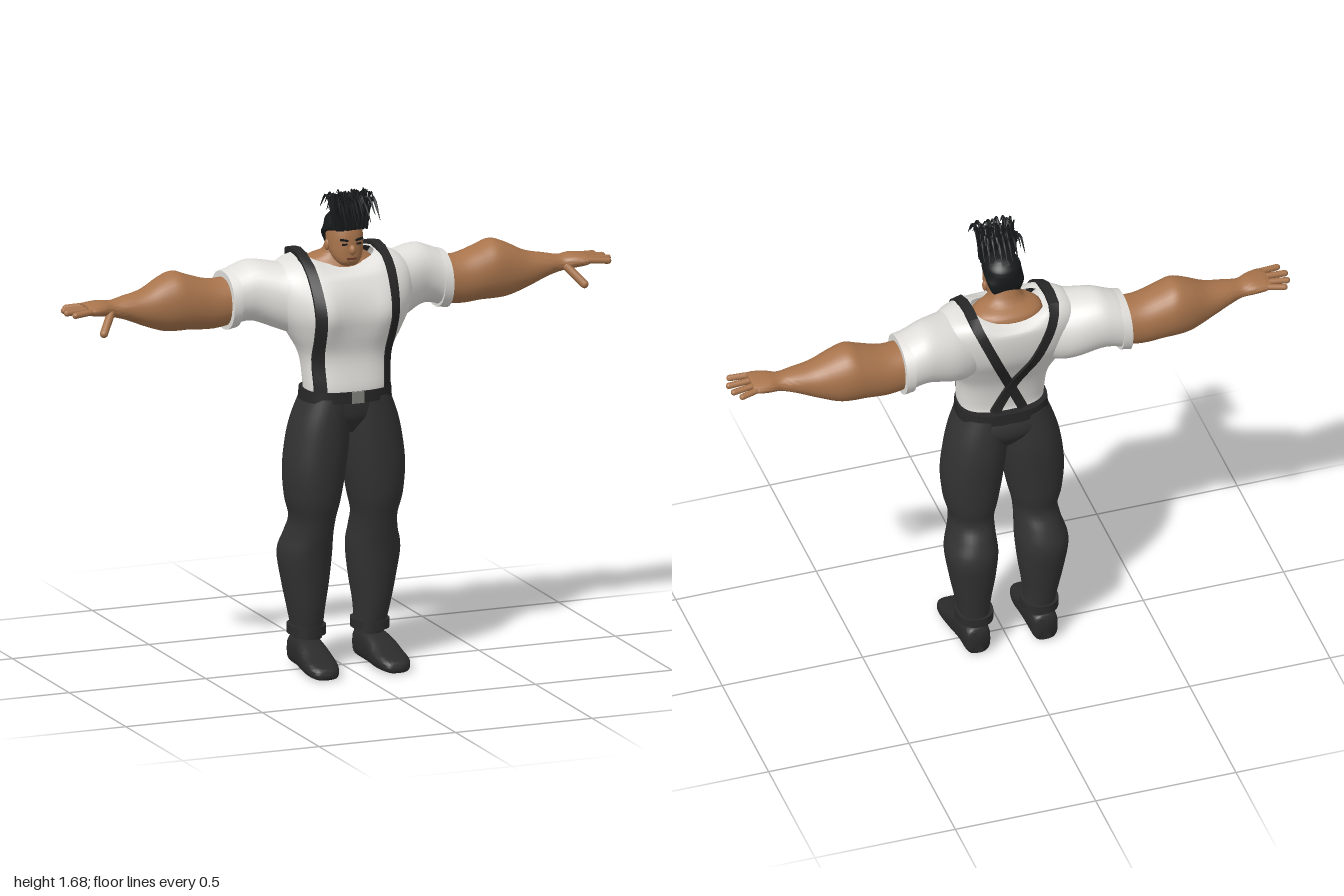
import * as THREE from 'three';
import { toCreasedNormals } from 'three/addons/utils/BufferGeometryUtils.js';

const V = (x, y, z) => new THREE.Vector3(x, y, z);

const paint = (name, color, side = THREE.FrontSide) => {
  const m = new THREE.MeshStandardMaterial({ color, side });
  m.name = name;
  return m;
};

// Joins rings of points into a skin, with optional end caps.
function skinRings(rings, caps = true, crease = 0.8) {
  const n = rings[0].length, pos = [], idx = [];
  rings.forEach(r => r.forEach(p => pos.push(p.x, p.y, p.z)));
  for (let i = 0; i < rings.length - 1; i++) {
    for (let j = 0; j < n; j++) {
      const a = i * n + j, b = i * n + (j + 1) % n;
      idx.push(a, b, b + n, a, b + n, a + n);
    }
  }
  if (caps) [0, rings.length - 1].forEach((i, top) => {
    const c = rings[i].reduce((s, p) => s.add(p), V(0, 0, 0)).divideScalar(n);
    const ci = pos.push(c.x, c.y, c.z) / 3 - 1;
    for (let j = 0; j < n; j++) {
      const a = i * n + j, b = i * n + (j + 1) % n;
      if (top) idx.push(ci, a, b); else idx.push(ci, b, a);
    }
  });
  const g = new THREE.BufferGeometry();
  g.setAttribute('position', new THREE.Float32BufferAttribute(pos, 3));
  g.setIndex(idx);
  return toCreasedNormals(g, crease);
}

// Smoothly resamples section rows.
function resample(rows, sub = 4) {
  const row = i => rows[Math.min(Math.max(i, 0), rows.length - 1)];
  const out = [];
  for (let i = 0; i < rows.length - 1; i++) {
    for (let k = 0; k < sub; k++) {
      const t = k / sub;
      out.push(row(i).map((p1, c) => {
        const p0 = row(i - 1)[c], p2 = row(i + 1)[c], p3 = row(i + 2)[c];
        return p1 + 0.5 * t * (p2 - p0 + t * (2 * p0 - 5 * p1 + 4 * p2 - p3 + t * (3 * (p1 - p2) + p3 - p0)));
      }));
    }
  }
  out.push(row(rows.length - 1));
  return out;
}

// Lofts rounded sections along an axis (0 x, 1 y, 2 z).
// Row: position, then min and max on each of the next two axes in cyclic order.
function loft(axis, rows, { n = 2.2, seg = 32, caps = true, deform } = {}) {
  const bend = v => Math.sign(v) * Math.abs(v) ** (2 / n);
  return skinRings(resample(rows).map(([t, a0, a1, b0, b1]) =>
    Array.from({ length: seg }, (_, j) => {
      const th = j / seg * Math.PI * 2, p = V(0, 0, 0);
      p.setComponent(axis, t);
      p.setComponent((axis + 1) % 3, (a0 + a1) / 2 + (a1 - a0) / 2 * bend(Math.cos(th)));
      p.setComponent((axis + 2) % 3, (b0 + b1) / 2 + (b1 - b0) / 2 * bend(Math.sin(th)));
      if (deform) deform(p);
      return p;
    })), caps);
}

// Mirrored copy across x with corrected winding.
function mirrored(geo) {
  const g = geo.index ? geo.toNonIndexed() : geo.clone();
  g.scale(-1, 1, 1);
  for (const key of ['position', 'normal']) {
    const a = g.attributes[key], p = V(0, 0, 0), q = V(0, 0, 0);
    for (let i = 0; i < a.count; i += 3) {
      p.fromBufferAttribute(a, i + 1);
      q.fromBufferAttribute(a, i + 2);
      a.setXYZ(i + 1, q.x, q.y, q.z);
      a.setXYZ(i + 2, p.x, p.y, p.z);
    }
  }
  return g;
}

function capsule(a, b, r) {
  const d = b.clone().sub(a), g = new THREE.CapsuleGeometry(r, d.length(), 5, 10);
  g.applyQuaternion(new THREE.Quaternion().setFromUnitVectors(V(0, 1, 0), d.normalize()));
  const c = a.clone().add(b).multiplyScalar(0.5);
  return g.translate(c.x, c.y, c.z);
}

const ellipsoid = (x, y, z, rx, ry, rz) => new THREE.SphereGeometry(1, 14, 10).scale(rx, ry, rz).translate(x, y, z);
const box = (x, y, z, w, h, d, rz = 0) => new THREE.BoxGeometry(w, h, d).rotateZ(rz).translate(x, y, z);

const TORSO = [[0.97, -0.07, 0.13, -0.148, 0.148], [1.0, -0.062, 0.132, -0.15, 0.15], [1.1, -0.08, 0.12, -0.16, 0.16],
  [1.18, -0.115, 0.135, -0.2, 0.2], [1.25, -0.15, 0.145, -0.235, 0.235], [1.32, -0.165, 0.132, -0.25, 0.25],
  [1.38, -0.165, 0.1, -0.245, 0.245], [1.42, -0.15, 0.06, -0.2, 0.2], [1.435, -0.13, 0.035, -0.125, 0.125]];
const TORSO_N = 2.6;
const chest = (x, y) => 0.02 * Math.exp(-(((Math.abs(x) - 0.11) / 0.05) ** 2) - ((y - 1.25) / 0.09) ** 2);

// Depth of the shirt surface at x, y on the front (1) or back (-1).
function shirtZ(x, y, s) {
  const rows = resample(TORSO);
  const i = Math.max(1, rows.findIndex(r => r[0] >= y)), A = rows[i - 1], B = rows[i];
  const [, z0, z1, , w] = A.map((v, c) => v + (B[c] - v) * (y - A[0]) / (B[0] - A[0]));
  const k = Math.max(0, 1 - Math.abs(x / w) ** TORSO_N) ** (1 / TORSO_N);
  return (z0 + z1) / 2 + s * (z1 - z0) / 2 * k + (s > 0 ? chest(x, y) : 0);
}

// Strap running up the chest, over the shoulder and diagonally down the back.
function strap(lift) {
  const pts = [];
  for (let i = 0; i <= 16; i++) pts.push({ x: 0.122 + 0.023 * i / 16, y: 0.985 + 0.425 * i / 16, s: 1 });
  pts.push({ x: 0.145, y: 1.44, z: -0.01 }, { x: 0.145, y: 1.447, z: -0.06 }, { x: 0.143, y: 1.438, z: -0.115 });
  for (let i = 0; i <= 16; i++) pts.push({ x: 0.135 - 0.185 * i / 16, y: 1.41 - 0.425 * i / 16, s: -1 });
  const P = pts.map(p => V(p.x, p.y, p.s ? shirtZ(p.x, p.y, p.s) : p.z));
  return skinRings(P.map((p, i) => {
    const t = P[Math.min(i + 1, P.length - 1)].clone().sub(P[Math.max(i - 1, 0)]).normalize();
    const w = V(1, 0, 0).addScaledVector(t, -t.x).normalize(), out = t.clone().cross(w).negate();
    return [[-1, 1], [1, 1], [1, -1], [-1, -1]].map(([side, o]) => {
      const q = p.clone().addScaledVector(w, side * 0.017);
      const s = pts[i].s;
      if (s) q.z = shirtZ(q.x, Math.min(q.y, 1.43), s);
      return q.addScaledVector(out, o > 0 ? lift : -0.006);
    });
  }), true, 0.6);
}

export function createModel() {
  const root = new THREE.Group();
  const skin = paint('skin', 0xa8744c), shirt = paint('shirt white', 0xe2e0dc, THREE.DoubleSide);
  const trouser = paint('trouser charcoal', 0x323232), leather = paint('shoe leather', 0x2b2b2b);
  const dark = paint('strap black', 0x272727), hair = paint('hair black', 0x171a1b);
  const metal = paint('buckle grey', 0x80807c), lip = paint('lip brown', 0x6e3c2c);
  const add = (name, geo, mat) => {
    const m = new THREE.Mesh(geo, mat);
    m.name = name;
    root.add(m);
  };
  const pair = (name, geo, mat) => {
    add(name + 'Left', geo, mat);
    add(name + 'Right', mirrored(geo), mat);
  };

  // Shirt with scooped neckline, sleeves and cuffs
  add('shirtBody', loft(1, TORSO, { n: TORSO_N, seg: 56, caps: false, deform: p => {
    if (p.z > 0) p.z += chest(p.x, p.y);
    if (p.y > 1.38) p.y -= 0.03 * Math.max(0, 1 - (p.x / 0.125) ** 2) * Math.min(1, (p.y - 1.38) / 0.04);
  } }), shirt);
  pair('sleeve', loft(0, [[0.1, 1.2, 1.38, -0.12, 0.08], [0.16, 1.17, 1.405, -0.15, 0.112], [0.22, 1.185, 1.415, -0.172, 0.072],
    [0.3, 1.215, 1.425, -0.183, 0.03], [0.35, 1.215, 1.41, -0.185, 0.018], [0.385, 1.2, 1.395, -0.185, 0.018]]), shirt);
  pair('sleeveCuff', loft(0, [[0.37, 1.198, 1.4, -0.19, 0.022], [0.402, 1.192, 1.392, -0.19, 0.022]]), shirt);

  // Suspenders
  add('suspenderLeft', strap(0.007), dark);
  add('suspenderRight', mirrored(strap(0.01)), dark);

  // Arms and hands
  pair('arm', loft(0, [[0.36, 1.215, 1.375, -0.165, 0], [0.45, 1.2, 1.37, -0.17, 0], [0.53, 1.205, 1.393, -0.175, 0.005],
    [0.58, 1.205, 1.41, -0.175, 0.005], [0.63, 1.21, 1.395, -0.165, 0], [0.7, 1.235, 1.36, -0.14, -0.01],
    [0.77, 1.265, 1.345, -0.12, -0.02], [0.82, 1.28, 1.336, -0.105, -0.025], [0.86, 1.288, 1.34, -0.113, -0.01],
    [0.9, 1.295, 1.337, -0.115, 0], [0.92, 1.303, 1.332, -0.11, -0.006]]), skin);
  [[-0.1, 0.965, -0.115], [-0.073, 0.985, -0.082], [-0.043, 0.99, -0.043], [-0.014, 0.975, -0.003]].forEach(([z0, x, z1], i) =>
    pair('finger' + (i + 1), capsule(V(0.9, 1.318, z0), V(x, 1.313, z1), 0.011), skin));
  pair('thumb', capsule(V(0.835, 1.3, -0.03), V(0.88, 1.245, 0.018), 0.014), skin);

  // Neck, shoulders and head
  add('neck', loft(1, [[1.36, -0.13, 0.06, -0.12, 0.12], [1.405, -0.128, 0.045, -0.122, 0.122], [1.425, -0.115, 0.03, -0.105, 0.105],
    [1.45, -0.075, 0.03, -0.06, 0.06], [1.51, -0.05, 0.035, -0.05, 0.05]]), skin);
  add('head', loft(1, [[1.41, 0.03, 0.075, -0.025, 0.025], [1.425, 0.01, 0.086, -0.042, 0.042], [1.45, -0.02, 0.088, -0.055, 0.055],
    [1.48, -0.045, 0.088, -0.06, 0.06], [1.52, -0.05, 0.085, -0.06, 0.06], [1.56, -0.045, 0.07, -0.054, 0.054],
    [1.585, -0.02, 0.04, -0.03, 0.03]]), skin);
  add('nose', ellipsoid(0, 1.468, 0.089, 0.012, 0.018, 0.016), skin);
  pair('ear', ellipsoid(0.061, 1.475, 0.012, 0.008, 0.02, 0.013), skin);
  pair('eye', box(0.026, 1.488, 0.084, 0.018, 0.006, 0.006), hair);
  pair('eyebrow', box(0.027, 1.503, 0.084, 0.028, 0.007, 0.008, 0.2), hair);
  add('mouth', box(0, 1.437, 0.086, 0.034, 0.007, 0.007), lip);

  // Hair cap and fanned tuft
  add('hairCap', loft(1, [[1.475, -0.054, -0.015, -0.05, 0.05], [1.51, -0.06, 0, -0.064, 0.064], [1.538, -0.062, 0.088, -0.066, 0.066],
    [1.565, -0.055, 0.08, -0.06, 0.06], [1.588, -0.03, 0.05, -0.036, 0.036], [1.597, -0.01, 0.02, -0.012, 0.012]]), hair);
  let seed = 7;
  const rnd = () => (seed = seed * 16807 % 2147483647) / 2147483647;
  for (let i = 0; i < 64; i++) {
    const x = ((i % 8) / 3.5 - 1) * 0.05 + (rnd() - 0.5) * 0.008, d = -0.1 + 0.205 * Math.floor(i / 8) / 7 + (rnd() - 0.5) * 0.02;
    const top = 1.683 - Math.abs(d) * 0.25 - rnd() * 0.02;
    const z = 0.075 + d * 0.15;
    const path = new THREE.CatmullRomCurve3([V(x, 1.54, z), V(x * 1.12, 1.61, z + d * 0.1), V(x * 1.25, top, z + d * 0.4),
      V(x * 1.35, top - Math.abs(d) * 0.5 - rnd() * 0.02, z + d * 0.88)]);
    const g = new THREE.TubeGeometry(path, 10, 0.008, 5), a = g.attributes.position, p = V(0, 0, 0);
    for (let k = 0; k < a.count; k++) {
      const u = Math.floor(k / 6) / 10;
      p.fromBufferAttribute(a, k).lerp(path.getPointAt(u), 0.9 * u * u);
      a.setXYZ(k, p.x, p.y, p.z);
    }
    add('hairStrand', g, hair);
  }

  // Trousers, belt and buckle
  pair('trouserLeg', loft(1, [[0.1, -0.095, 0.02, 0.066, 0.16], [0.2, -0.112, 0.045, 0.06, 0.18], [0.3, -0.13, 0.06, 0.045, 0.2],
    [0.4, -0.142, 0.075, 0.036, 0.214], [0.47, -0.12, 0.09, 0.04, 0.196], [0.53, -0.092, 0.103, 0.038, 0.188],
    [0.6, -0.1, 0.12, 0.022, 0.205], [0.7, -0.105, 0.128, 0.004, 0.213], [0.8, -0.108, 0.13, -0.008, 0.202],
    [0.88, -0.1, 0.13, -0.01, 0.183], [0.96, -0.085, 0.128, -0.01, 0.152]]), trouser);
  add('trouserSeat', loft(1, [[0.83, -0.06, 0.08, -0.05, 0.05], [0.88, -0.095, 0.115, -0.13, 0.13], [0.92, -0.1, 0.125, -0.155, 0.155],
    [0.96, -0.088, 0.13, -0.15, 0.15]], { n: 2.4 }), trouser);
  add('belt', loft(1, [[0.945, -0.093, 0.138, -0.16, 0.16], [0.985, -0.09, 0.138, -0.157, 0.157]], { n: 2.5, seg: 48 }), dark);
  add('buckle', box(0, 0.965, 0.138, 0.044, 0.04, 0.009), metal);

  // Ankle cuffs and shoes
  pair('ankleCuff', loft(1, [[0.115, -0.11, 0.035, 0.052, 0.18], [0.147, -0.11, 0.035, 0.052, 0.18]]), leather);
  pair('shoe', loft(2, [[-0.105, 0.085, 0.155, 0.004, 0.09], [-0.09, 0.075, 0.165, 0, 0.105], [-0.02, 0.072, 0.17, 0, 0.11],
    [0.04, 0.07, 0.18, 0, 0.095], [0.1, 0.068, 0.186, 0, 0.068], [0.15, 0.075, 0.185, 0, 0.052],
    [0.183, 0.09, 0.17, 0, 0.037], [0.193, 0.11, 0.15, 0.006, 0.022]], { n: 3 }), leather);
  return root;
}
